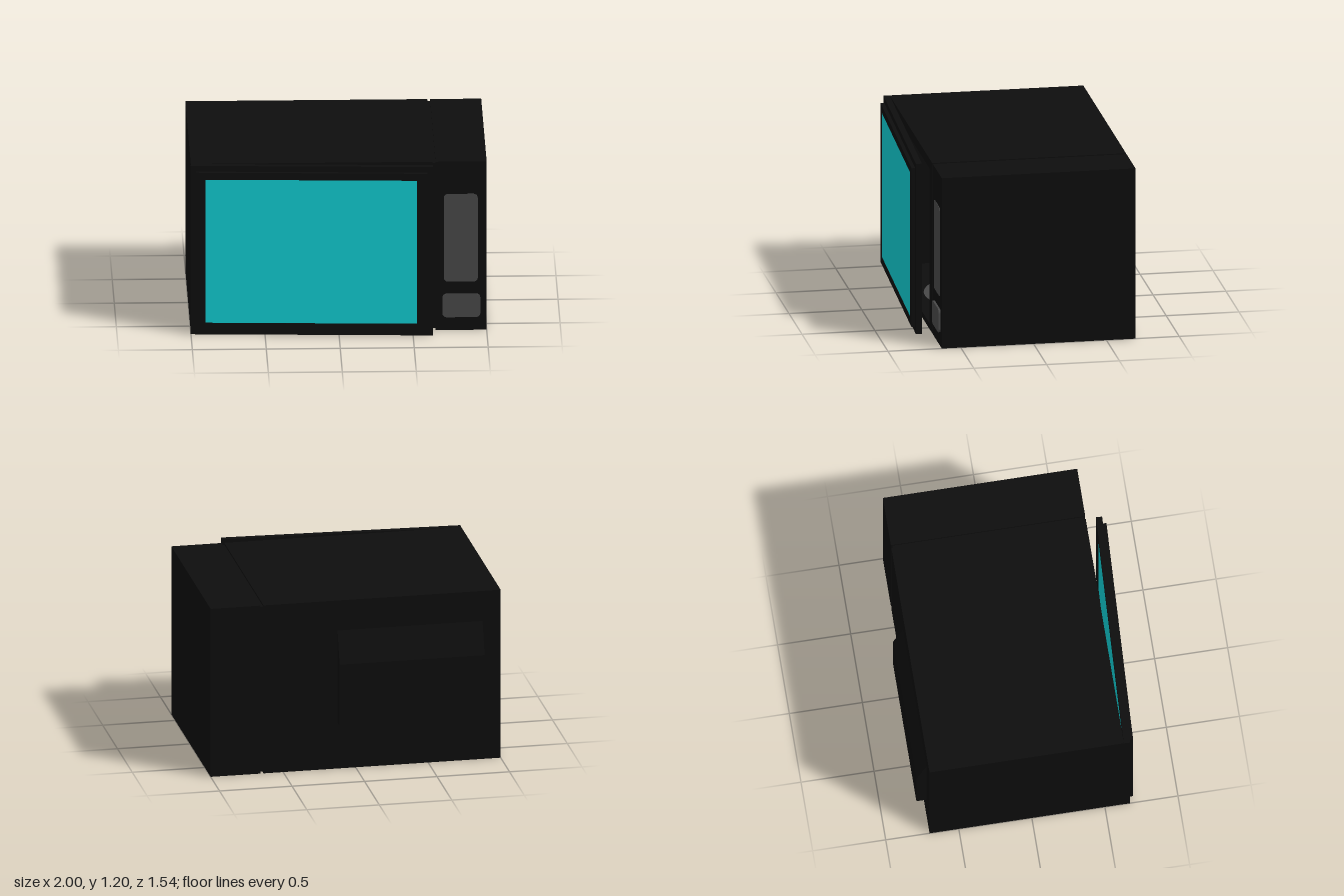
import * as THREE from 'three';

const black = new THREE.MeshStandardMaterial({ color: 0x0d0d0d });
black.name = 'black casing';
const cyan = new THREE.MeshStandardMaterial({ color: 0x10cbd0 });
cyan.name = 'cyan glass';
const grey = new THREE.MeshStandardMaterial({ color: 0x484848 });
grey.name = 'grey controls';

function add(parent, name, geometry, material) {
  const mesh = new THREE.Mesh(geometry, material);
  mesh.name = name;
  parent.add(mesh);
  return mesh;
}

// Box given by its minimum and maximum corners
function box(parent, name, material, [x0, y0, z0], [x1, y1, z1]) {
  const g = new THREE.BoxGeometry(x1 - x0, y1 - y0, z1 - z0);
  g.translate((x0 + x1) / 2, (y0 + y1) / 2, (z0 + z1) / 2);
  return add(parent, name, g, material);
}

function rectPoints(x0, y0, x1, y1) {
  return [[x0, y0], [x1, y0], [x1, y1], [x0, y1]].map(p => new THREE.Vector2(...p));
}

// Rectangular ring extruded along z
function frame(parent, name, material, outer, inner, z0, z1) {
  const shape = new THREE.Shape(rectPoints(...outer));
  shape.holes.push(new THREE.Path(rectPoints(...inner).reverse()));
  const g = new THREE.ExtrudeGeometry(shape, { depth: z1 - z0, bevelEnabled: false });
  g.translate(0, 0, z0);
  return add(parent, name, g, material);
}

// Rounded plate extruded along z
function roundedPlate(parent, name, material, x0, y0, x1, y1, r, z0, z1) {
  const s = new THREE.Shape();
  s.absarc(x1 - r, y0 + r, r, -Math.PI / 2, 0);
  s.absarc(x1 - r, y1 - r, r, 0, Math.PI / 2);
  s.absarc(x0 + r, y1 - r, r, Math.PI / 2, Math.PI);
  s.absarc(x0 + r, y0 + r, r, Math.PI, Math.PI * 1.5);
  const g = new THREE.ExtrudeGeometry(s, { depth: z1 - z0, bevelEnabled: false, curveSegments: 6 });
  g.translate(0, 0, z0);
  return add(parent, name, g, material);
}

export function createModel() {
  const model = new THREE.Group();
  model.name = 'microwave oven';

  // Oven body with an open cavity
  const body = new THREE.Group();
  body.name = 'ovenBody';
  model.add(body);
  frame(body, 'ovenShell', black, [-1, 0, 0.635, 1.2], [-0.88, 0.04, 0.53, 1.13], -0.62, 0.63);
  box(body, 'backWall', black, [-1, 0, -0.7], [0.635, 1.2, -0.62]);

  // Turntable inside the cavity
  const turntable = new THREE.Group();
  turntable.name = 'turntable';
  turntable.position.set(-0.1, 0.04, 0.08);
  body.add(turntable);
  add(turntable, 'turntableRing', new THREE.CylinderGeometry(0.47, 0.45, 0.01, 40), grey).position.y = 0.005;
  add(turntable, 'turntablePlate', new THREE.CylinderGeometry(0.42, 0.4, 0.01, 40), cyan).position.y = 0.015;

  // Control block, separated from the body by a shallow groove
  const control = new THREE.Group();
  control.name = 'controlBlock';
  model.add(control);
  box(control, 'grooveCore', black, [0.635, 0.012, -0.69], [0.655, 1.188, 0.618]);
  box(control, 'controlCasing', black, [0.655, 0, -0.7], [1, 1.2, 0.63]);
  roundedPlate(control, 'keypad', grey, 0.71, 0.345, 0.94, 0.97, 0.03, 0.627, 0.633);
  roundedPlate(control, 'openButton', grey, 0.7, 0.095, 0.957, 0.26, 0.03, 0.63, 0.644);

  // Sloped housing on the back
  const profile = new THREE.Shape([[0.69, 0.325], [0.77, 0.325], [0.77, 0.765], [0.7, 0.985], [0.69, 0.985]]
    .map(p => new THREE.Vector2(...p)));
  const housing = new THREE.ExtrudeGeometry(profile, { depth: 1, bevelEnabled: false });
  housing.rotateY(Math.PI / 2);
  add(model, 'backHousing', housing, black).position.x = -0.875;

  // Door, hinged on its x = -1 edge and slightly open
  const door = new THREE.Group();
  door.name = 'door';
  door.position.set(-1, 0, 0.63);
  door.rotation.y = -0.043;
  model.add(door);
  frame(door, 'doorFrame', black, [0, 0, 1.637, 1.2], [0.1, 0.09, 1.53, 1.11], 0, 0.042);
  frame(door, 'doorFrontTrim', black, [0.035, 0.04, 1.602, 1.16], [0.1, 0.09, 1.53, 1.11], 0.042, 0.067);
  box(door, 'doorWindow', cyan, [0.1, 0.09, 0.056], [1.53, 1.11, 0.064]);
  box(door, 'doorInnerWindow', cyan, [0.1, 0.09, 0.004], [1.53, 1.11, 0.012]);

  return model;
}
